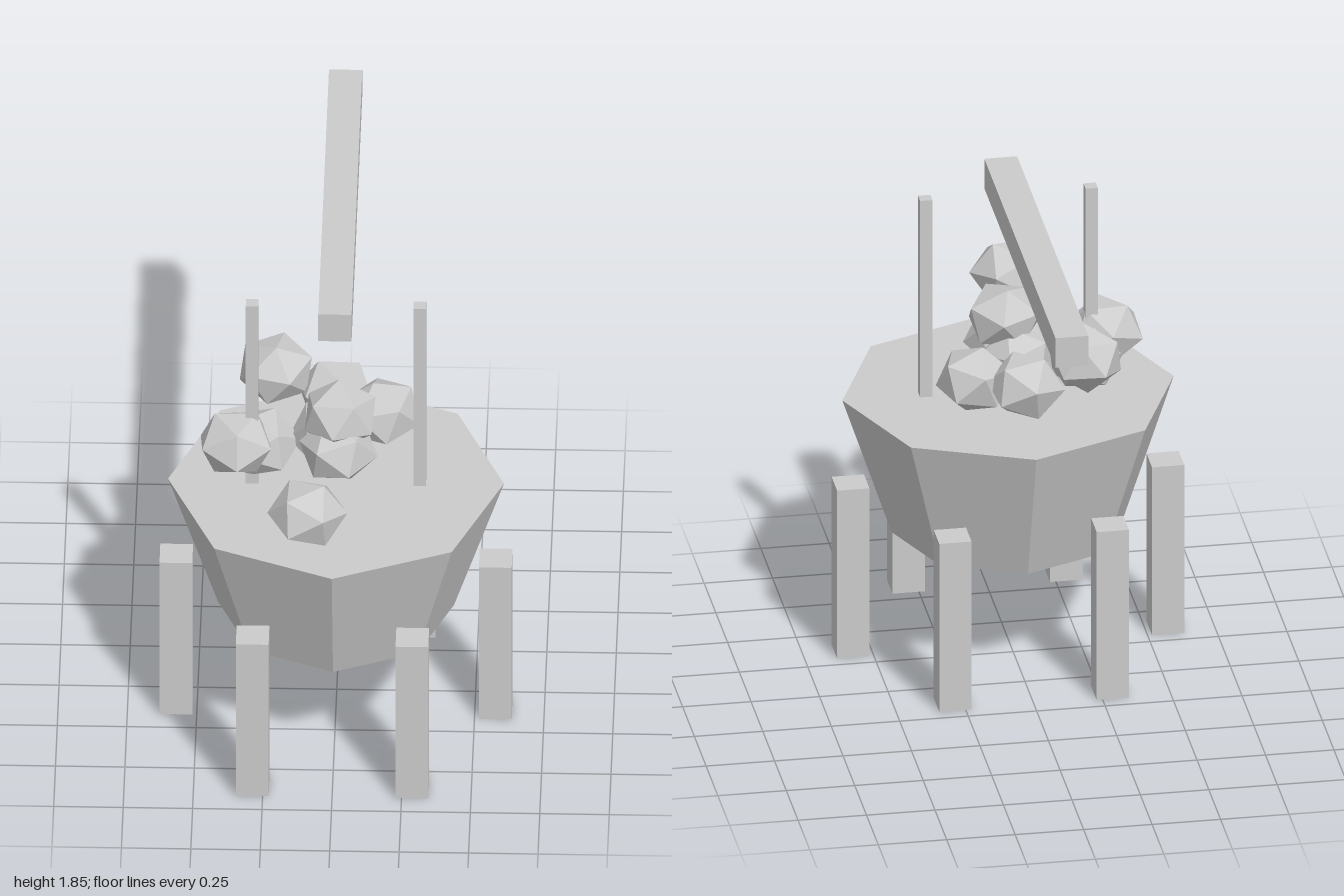
import * as THREE from 'three';

const CZ = 0.36; // basin axis

export function createModel() {
  const group = new THREE.Group();
  const mat = new THREE.MeshStandardMaterial({ color: 0xcccccc, flatShading: true });

  const add = (name, geometry, x, y, z) => {
    const mesh = new THREE.Mesh(geometry, mat);
    mesh.name = name;
    mesh.position.set(x, y, z);
    group.add(mesh);
    return mesh;
  };

  // Tapered eight-sided basin
  add('basin', new THREE.CylinderGeometry(0.605, 0.425, 0.54, 8), 0, 0.73, CZ);

  // Six square legs in a ring, all aligned with the axes
  for (let i = 0; i < 6; i++) {
    const a = (i * Math.PI) / 3;
    add('leg', new THREE.BoxGeometry(0.118, 0.67, 0.118),
      0.575 * Math.cos(a), 0.335, CZ + 0.575 * Math.sin(a));
  }

  // Two thin posts rising from the basin
  for (const s of [-1, 1]) {
    add('post', new THREE.BoxGeometry(0.045, 0.785, 0.045), s * 0.302, 1.392, CZ);
  }

  // Long overhead beam reaching to the back
  add('beam', new THREE.BoxGeometry(0.12, 0.118, 1.515), 0, 1.789, -0.2425);

  // Heaped rocks: centre x, y, z, then rotation about x, y, z
  const rocks = [
    [-0.09, 1.22, 0.865, 0.3, 0.5, 0.2],
    [-0.36, 1.19, 0.395, 0.5, 1.1, 0.1],
    [-0.27, 1.135, 0.31, 1.2, 0.3, 0.6],
    [0.015, 1.295, 0.355, 0.1, 0.8, 0.5],
    [0.01, 1.18, 0.41, 0.9, 0.2, 0.3],
    [-0.03, 1.16, 0.29, 0.2, 1.6, 0.9],
    [-0.225, 1.26, 0.03, 0.7, 0.4, 0.8],
    [0.16, 1.155, 0.14, 1.0, 1.3, 0.2],
    [-0.01, 1.165, 0.035, 0.4, 0.9, 1.1],
  ];
  for (const [x, y, z, rx, ry, rz] of rocks) {
    const g = new THREE.IcosahedronGeometry(0.145, 0);
    g.rotateX(rx).rotateY(ry).rotateZ(rz).scale(1, 0.87, 1);
    add('rock', g, x, y, z);
  }

  return group;
}
